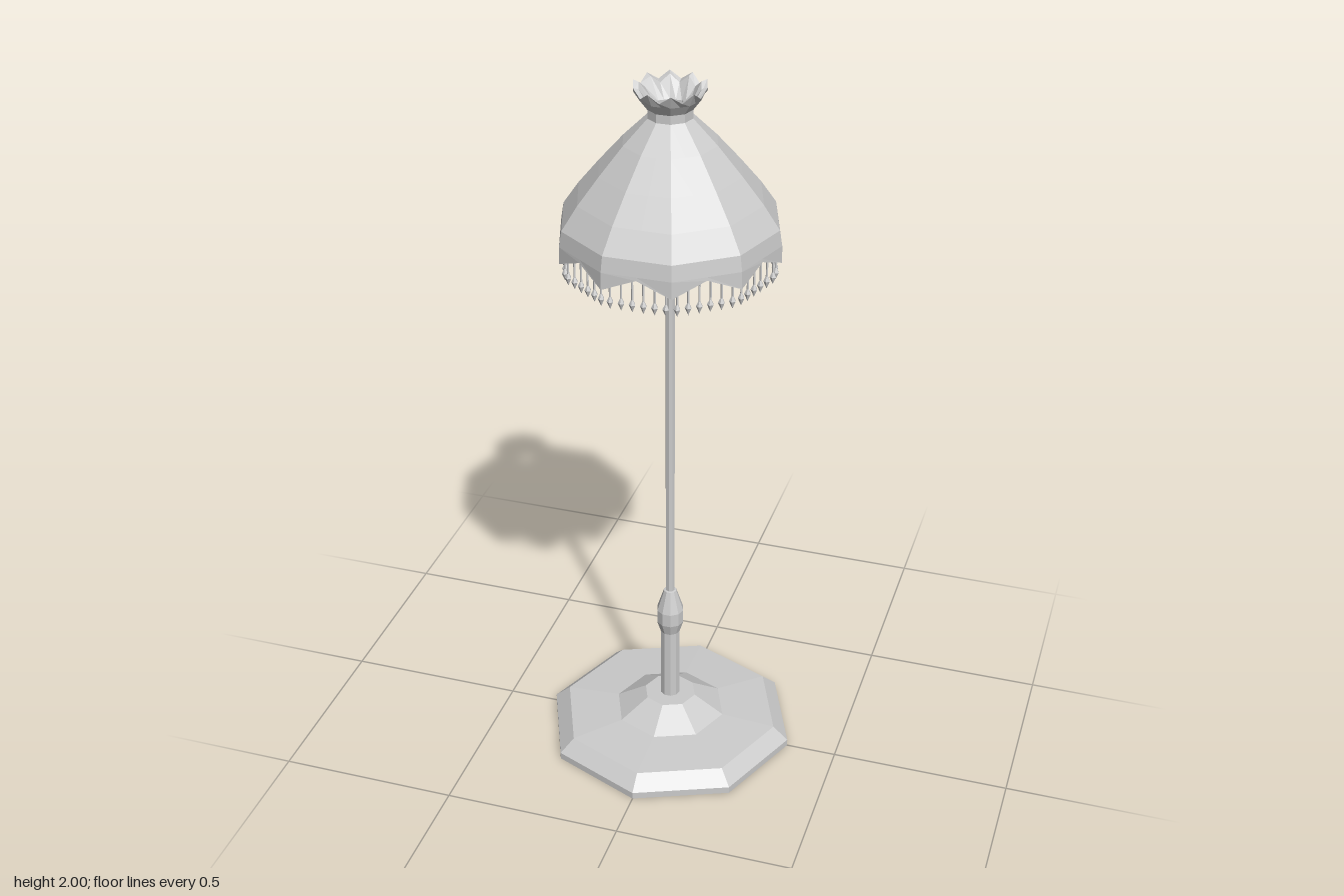
import * as THREE from 'three';

const SIDES = 10;
const solid = new THREE.MeshStandardMaterial({ color: 0xcccccc, flatShading: true });
const shell = new THREE.MeshStandardMaterial({ color: 0xcccccc, flatShading: true, side: THREE.DoubleSide });

const points = (profile) => profile.map(([r, y]) => new THREE.Vector2(r, y));

// Faceted turned part; profile runs bottom to top with a corner on +x
function turned(name, profile, sides, material = solid) {
  const mesh = new THREE.Mesh(new THREE.LatheGeometry(points(profile), sides, Math.PI / 2), material);
  mesh.name = name;
  return mesh;
}

// Ten-sided shell whose edge is scalloped: each profile entry is
// [radius, height at the corners, extra height at the middle of a side]
function scalloped(name, profile) {
  const geometry = new THREE.LatheGeometry(points(profile), SIDES * 2, Math.PI / 2);
  const pos = geometry.attributes.position;
  const flat = Math.cos(Math.PI / SIDES);
  for (let i = 0; i < pos.count; i++) {
    const column = Math.floor(i / profile.length);
    if (column % 2 === 0) continue;
    const lift = profile[i % profile.length][2] || 0;
    pos.setXYZ(i, pos.getX(i) * flat, pos.getY(i) + lift, pos.getZ(i) * flat);
  }
  geometry.computeVertexNormals();
  const mesh = new THREE.Mesh(geometry, shell);
  mesh.name = name;
  return mesh;
}

// Hanging beads spread evenly along the sides of the shade
function makeFringe() {
  const fringe = new THREE.Group();
  fringe.name = 'beadFringe';
  const perSide = 6, radius = 0.283;
  const thread = new THREE.CylinderGeometry(0.003, 0.003, 0.085, 4);
  const bead = new THREE.LatheGeometry(points([[0, 1.496], [0.009, 1.517], [0.003, 1.53], [0, 1.53]]), 5);
  const corner = (k) => {
    const a = (k / SIDES) * Math.PI * 2;
    return new THREE.Vector3(Math.cos(a) * radius, 0, Math.sin(a) * radius);
  };
  for (let k = 0; k < SIDES; k++) {
    for (let j = 0; j < perSide; j++) {
      const p = corner(k).lerp(corner(k + 1), (j + 0.5) / perSide);
      const strand = new THREE.Group();
      strand.name = 'beadStrand';
      const string = new THREE.Mesh(thread, solid);
      string.name = 'thread';
      string.position.y = 1.568;
      const drop = new THREE.Mesh(bead, solid);
      drop.name = 'bead';
      strand.add(string, drop);
      strand.position.copy(p);
      fringe.add(strand);
    }
  }
  return fringe;
}

export function createModel() {
  const lamp = new THREE.Group();
  lamp.name = 'floorLamp';

  // Octagonal foot with a raised centre
  lamp.add(turned('base', [
    [0, 0], [0.358, 0], [0.358, 0.02], [0.315, 0.058], [0.16, 0.068], [0.075, 0.12], [0, 0.12],
  ], 8));

  // Lower column with its swelling, then the slim pole
  lamp.add(turned('column', [
    [0.028, 0.11], [0.028, 0.34], [0.039, 0.375], [0.039, 0.415], [0.018, 0.48], [0, 0.485],
  ], 10));
  lamp.add(turned('pole', [[0.013, 0.47], [0.013, 1.54]], 8));

  // Dish and bulb beneath the shade
  lamp.add(turned('dish', [
    [0, 1.52], [0.04, 1.525], [0.1, 1.556], [0.1, 1.566], [0.045, 1.572], [0, 1.572],
  ], 10));
  lamp.add(turned('socket', [[0.03, 1.57], [0.03, 1.64], [0, 1.64]], 10));
  lamp.add(turned('bulb', [
    [0.026, 1.63], [0.05, 1.68], [0.06, 1.73], [0.052, 1.77], [0.03, 1.795], [0, 1.805],
  ], 10));

  // Shade: hem, bell and thin inner lining
  lamp.add(scalloped('shade', [
    [0.278, 1.64], [0.288, 1.553, 0.038], [0.298, 1.553, 0.038], [0.297, 1.6], [0.29, 1.642],
    [0.247, 1.705], [0.19, 1.775], [0.125, 1.85], [0.06, 1.915],
    [0.052, 1.915], [0.117, 1.845], [0.181, 1.77], [0.238, 1.7], [0.278, 1.64],
  ]));

  // Collar and flared, wavy crown
  lamp.add(scalloped('crown', [
    [0.05, 1.912], [0.06, 1.912], [0.06, 1.938], [0.08, 1.965], [0.097, 2, -0.02],
    [0.082, 1.995, -0.02], [0.05, 1.94], [0.05, 1.912],
  ]));

  lamp.add(makeFringe());
  return lamp;
}
